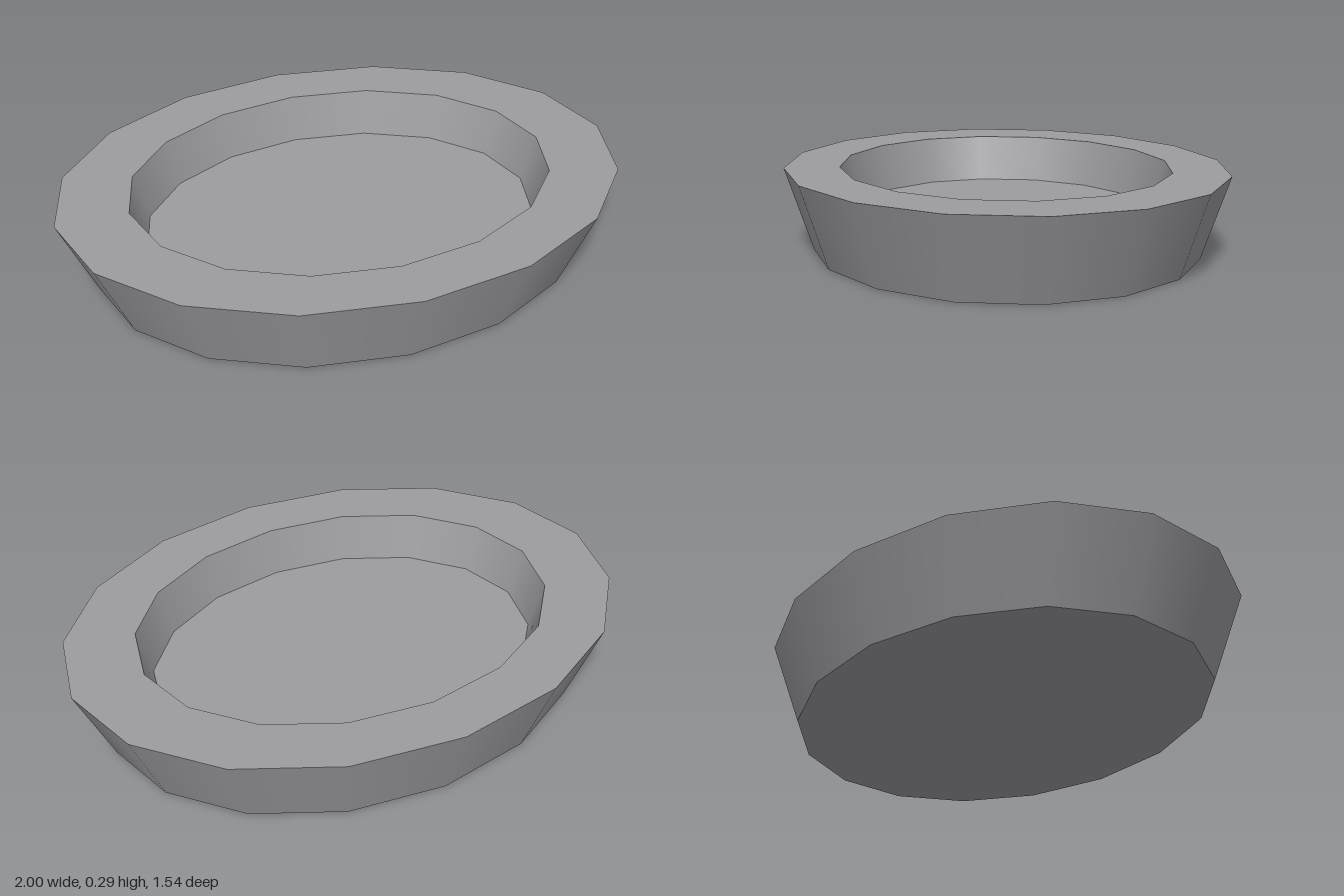
import * as THREE from 'three';

const SIDES = 16;
const DEPTH_RATIO = 0.77; // oval: z radius over x radius

export function createModel() {
  const group = new THREE.Group();
  group.name = 'ovalDish';
  const grey = new THREE.MeshStandardMaterial({ color: 0x9d9da1 });
  grey.name = 'stone grey';

  // One smooth ring of the dish, so the edges between rings stay sharp
  function ring(name, r0, y0, r1, y1) {
    const profile = [new THREE.Vector2(r0, y0), new THREE.Vector2(r1, y1)];
    const geometry = new THREE.LatheGeometry(profile, SIDES);
    geometry.scale(1, 1, DEPTH_RATIO);
    const mesh = new THREE.Mesh(geometry, grey);
    mesh.name = name;
    group.add(mesh);
  }

  const top = 0.287, floor = 0.12;
  ring('underside', 0, 0, 0.875, 0);
  ring('outerWall', 0.875, 0, 1, top);
  ring('rim', 1, top, 0.75, top);
  ring('innerWall', 0.75, top, 0.7, floor);
  ring('dishFloor', 0.7, floor, 0, floor);

  return group;
}
